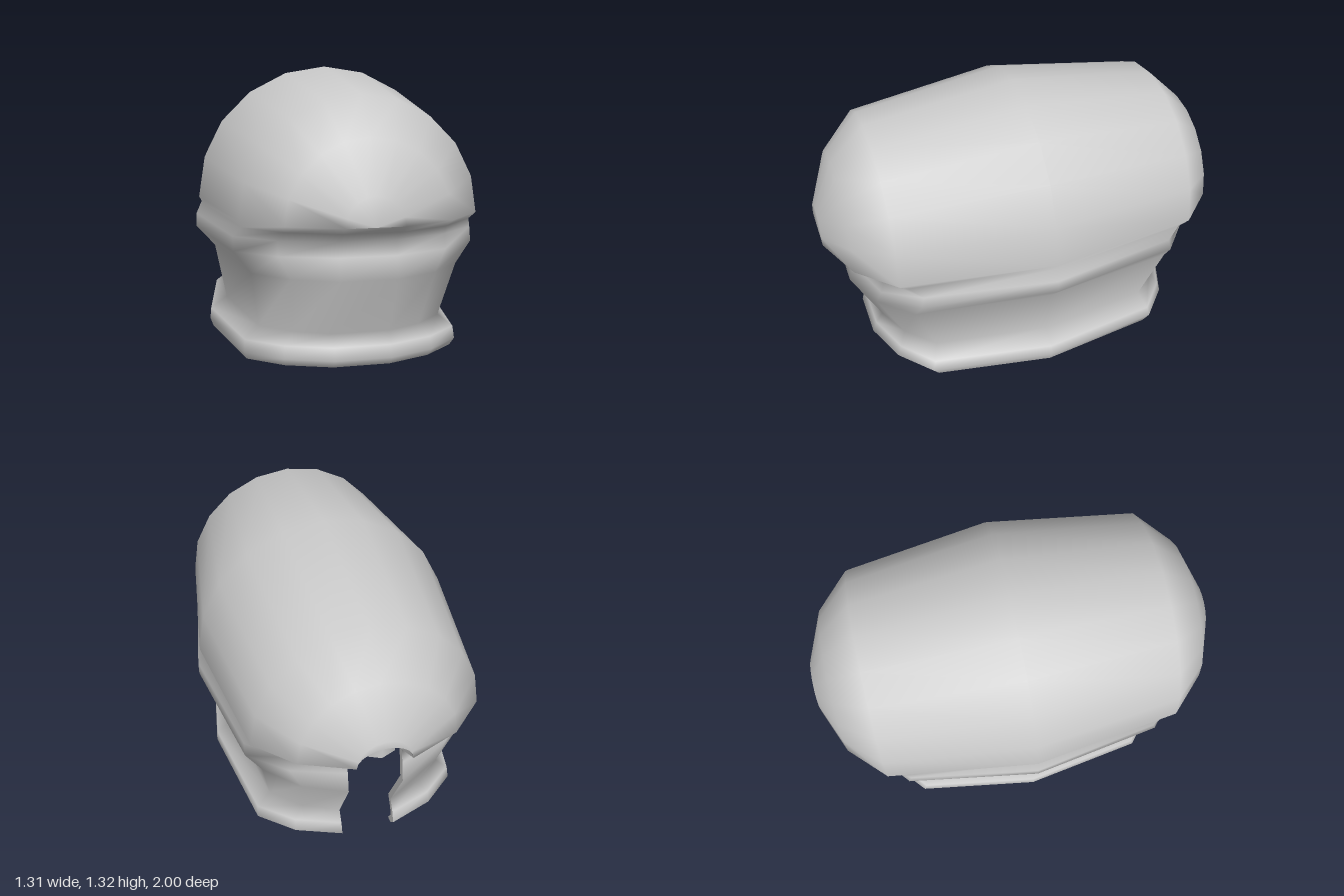
import * as THREE from 'three';
import { mergeGeometries, mergeVertices } from 'three/addons/utils/BufferGeometryUtils.js';

const SPRING = 0.68;   // height where the dome starts
const SLOT = 0.13;     // half width of the rear slot
const WALL = 0.035;    // shell thickness

// plan outline of one side: [half width, z]
const PLAN = [[SLOT, -1], [0.37, -0.9], [0.54, -0.73], [0.64, 0], [0.54, 0.73], [0.37, 0.9], [SLOT, 1]];

// moulded side wall: [height, half width, half length]
const LEVELS = [
  [0.01, 0.58, 0.77], [0.05, 0.595, 0.81], [0.105, 0.59, 0.79], [0.16, 0.51, 0.755],
  [0.43, 0.565, 0.895], [0.53, 0.655, 0.875], [0.595, 0.655, 0.855], [0.645, 0.62, 0.94], [SPRING, 0.64, 1],
];

const material = new THREE.MeshStandardMaterial({ color: 0xcccccc, side: THREE.DoubleSide });

// quads between two rows of points
function strip(a, b) {
  const pos = [];
  const index = [];
  const n = a.length;
  [...a, ...b].forEach((p) => pos.push(...p));
  for (let i = 0; i < n - 1; i++) index.push(i, i + 1, n + i + 1, i, n + i + 1, n + i);
  const g = new THREE.BufferGeometry();
  g.setAttribute('position', new THREE.Float32BufferAttribute(pos, 3));
  g.setIndex(index);
  return g;
}

// plan scaled to a level; the slot edges keep their width
function planAt(width, length) {
  return PLAN.map(([x, z]) => [x === SLOT ? SLOT : (x * width) / 0.64, z * length]);
}

// open ring from one slot edge round the front to the other
function ring([y, width, length], inset) {
  const side = planAt(width - inset, length - inset);
  return [
    ...side.map(([x, z]) => [-x, y, z]),
    ...side.slice().reverse().map(([x, z]) => [x, y, z]),
  ];
}

// half ellipse standing on the spring line
function arch(rx, ry, z) {
  return Array.from({ length: 11 }, (_, i) => {
    const t = (i * Math.PI) / 10;
    return [rx * Math.cos(t), SPRING + ry * Math.sin(t), z];
  });
}

function smoothMesh(strips, name) {
  const g = mergeVertices(mergeGeometries(strips), 1e-4);
  g.computeVertexNormals();
  const mesh = new THREE.Mesh(g, material);
  mesh.name = name;
  return mesh;
}

// one skin of the shell: walls, dome and the two end faces
function skin(inset, inward, name) {
  const strips = [];
  const add = (a, b) => strips.push(inward ? strip(b, a) : strip(a, b));
  const rings = LEVELS.map((level) => ring(level, inset));
  for (let i = 0; i < rings.length - 1; i++) add(rings[i], rings[i + 1]);

  const arches = planAt(0.64 - inset, 1 - inset).map(([r, z]) => arch(r, r, z));
  for (let i = 0; i < arches.length - 1; i++) add(arches[i], arches[i + 1]);

  const end = 1 - inset;
  add(arches[arches.length - 1], arch(0, 0, end));
  const slotTop = arch(SLOT, 0.09, -end);
  add(slotTop, arches[0]);
  return { mesh: smoothMesh(strips, name), rings, slotTop };
}

export function createModel() {
  const group = new THREE.Group();

  // hollow shell
  const outer = skin(0, false, 'outerShell');
  const inner = skin(WALL, true, 'innerShell');
  group.add(outer.mesh, inner.mesh);

  // bottom rim and slot edges close the wall thickness
  group.add(smoothMesh([strip(inner.rings[0], outer.rings[0])], 'bottomRim'));
  const column = (s, i) => s.rings.map((r) => r[i]);
  const last = outer.rings[0].length - 1;
  group.add(smoothMesh([strip(column(outer, 0), column(inner, 0))], 'rightSlotEdge'));
  group.add(smoothMesh([strip(column(inner, last), column(outer, last))], 'leftSlotEdge'));
  group.add(smoothMesh([strip(inner.slotTop, outer.slotTop)], 'slotArch'));

  // pegs hanging inside: x, z, radius x, radius z, bottom height
  const pegs = [
    [0.17, -0.38, 0.15, 0.19, 0],
    [0.2, 0.2, 0.16, 0.17, 0],
    [-0.23, -0.21, 0.12, 0.13, 0.01],
    [-0.13, 0.54, 0.16, 0.16, 0.01],
  ];
  pegs.forEach(([x, z, rx, rz, bottom], i) => {
    const height = 1 - bottom;
    const peg = new THREE.Mesh(new THREE.CylinderGeometry(1, 1, height, 8), material);
    peg.scale.set(rx, 1, rz);
    peg.position.set(x, bottom + height / 2, z);
    peg.name = `peg${i + 1}`;
    group.add(peg);
  });

  return group;
}
